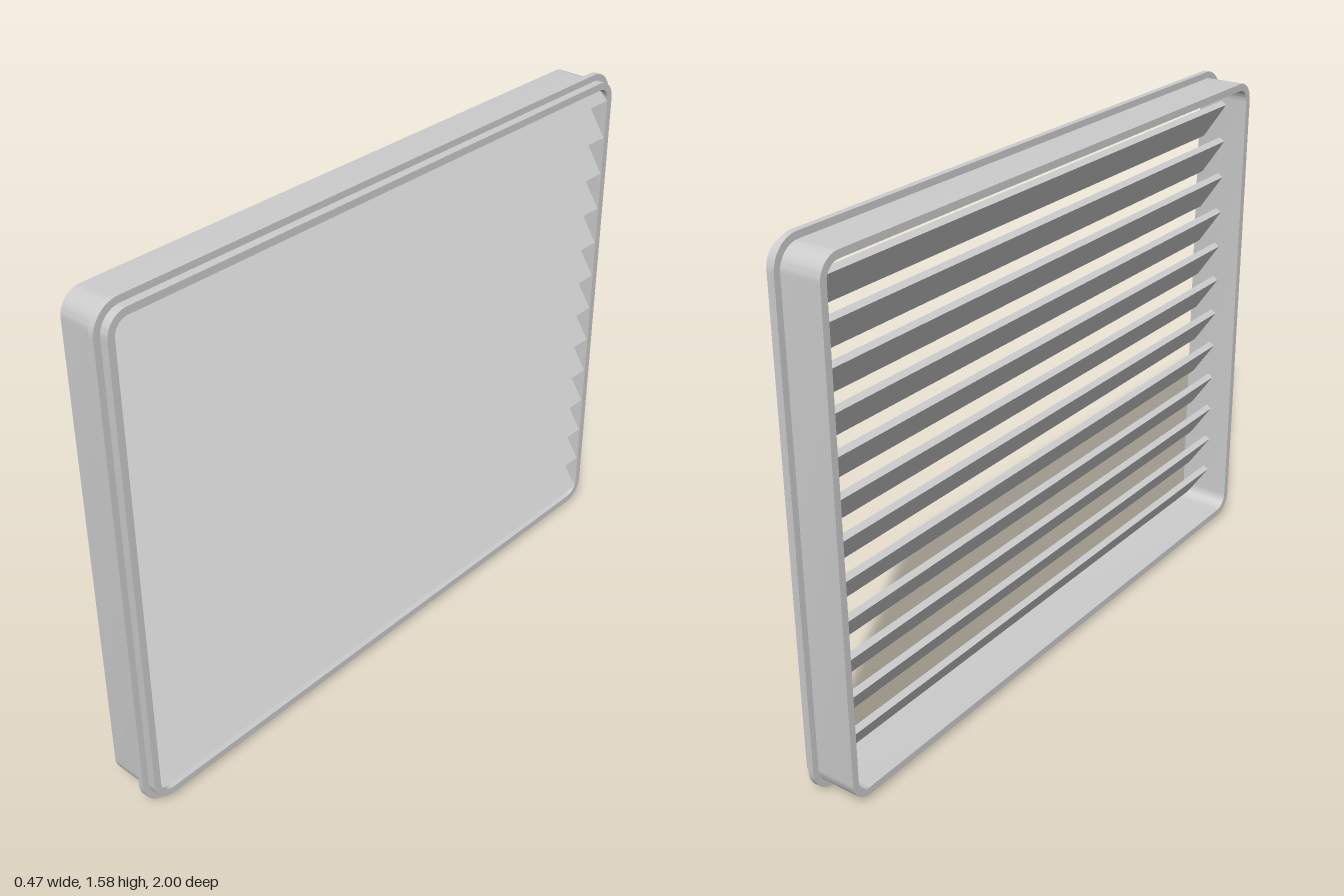
import * as THREE from 'three';
import { toCreasedNormals } from 'three/addons/utils/BufferGeometryUtils.js';

const MID = 0.79;                       // height of the panel centre
const material = new THREE.MeshStandardMaterial({ color: 0xcccccc });

// Rounded rectangle centred on the panel
function roundedRect(path, w, h, r) {
  path.moveTo(-w + r, -h);
  path.lineTo(w - r, -h);
  path.absarc(w - r, -h + r, r, -Math.PI / 2, 0);
  path.lineTo(w, h - r);
  path.absarc(w - r, h - r, r, 0, Math.PI / 2);
  path.lineTo(-w + r, h);
  path.absarc(-w + r, h - r, r, Math.PI / 2, Math.PI);
  path.lineTo(-w, -h + r);
  path.absarc(-w + r, -h + r, r, Math.PI, Math.PI * 1.5);
  return path;
}

// Rectangular ring from z0 to z1; outer and inner are [halfWidth, halfHeight, radius]
function ring(name, outer, inner, z0, z1) {
  const shape = roundedRect(new THREE.Shape(), ...outer);
  shape.holes.push(roundedRect(new THREE.Path(), ...inner));
  const geo = new THREE.ExtrudeGeometry(shape, { depth: z1 - z0, bevelEnabled: false, curveSegments: 6 });
  geo.translate(0, MID, z0);
  const mesh = new THREE.Mesh(toCreasedNormals(geo, 0.6), material);
  mesh.name = name;
  return mesh;
}

// Sloping slat: front edge low, back edge high, cut off level under the top of the frame
function slat(y, index) {
  const angle = THREE.MathUtils.degToRad(56), thick = 0.02, length = 0.136, ceiling = 1.54;
  const c = Math.cos(angle), s = Math.sin(angle);
  const low = [0.064, y], front = [0.064 + thick * s, y + thick * c];
  const rise = ([n, h]) => {
    const l = Math.min(length, (ceiling - h) / s);
    return [n - l * c, h + l * s];
  };
  const shape = new THREE.Shape([low, front, rise(front), rise(low)].map(p => new THREE.Vector2(...p)));
  const geo = new THREE.ExtrudeGeometry(shape, { depth: 1.94, bevelEnabled: false });
  geo.translate(0, 0, -0.97);
  geo.rotateY(-Math.PI / 2);
  const mesh = new THREE.Mesh(geo, material);
  mesh.name = `slat${index + 1}`;
  return mesh;
}

export function createModel() {
  const model = new THREE.Group();
  model.name = 'louvrePanel';

  // The panel is built facing +z, then turned
  const panel = new THREE.Group();
  panel.name = 'panel';
  panel.rotation.y = THREE.MathUtils.degToRad(99);
  panel.position.z = 0.006;
  model.add(panel);

  // Deep frame and the thin flange around it
  panel.add(ring('frame', [0.99, 0.77, 0.065], [0.968, 0.748, 0.043], -0.0835, 0.0835));
  panel.add(ring('flange', [1.01, 0.79, 0.083], [0.985, 0.765, 0.06], 0.04, 0.058));

  // Louvre slats
  const slats = new THREE.Group();
  slats.name = 'slats';
  for (let i = 0; i < 13; i++) slats.add(slat(0.05 + i * 0.1192, i));
  panel.add(slats);

  return model;
}
